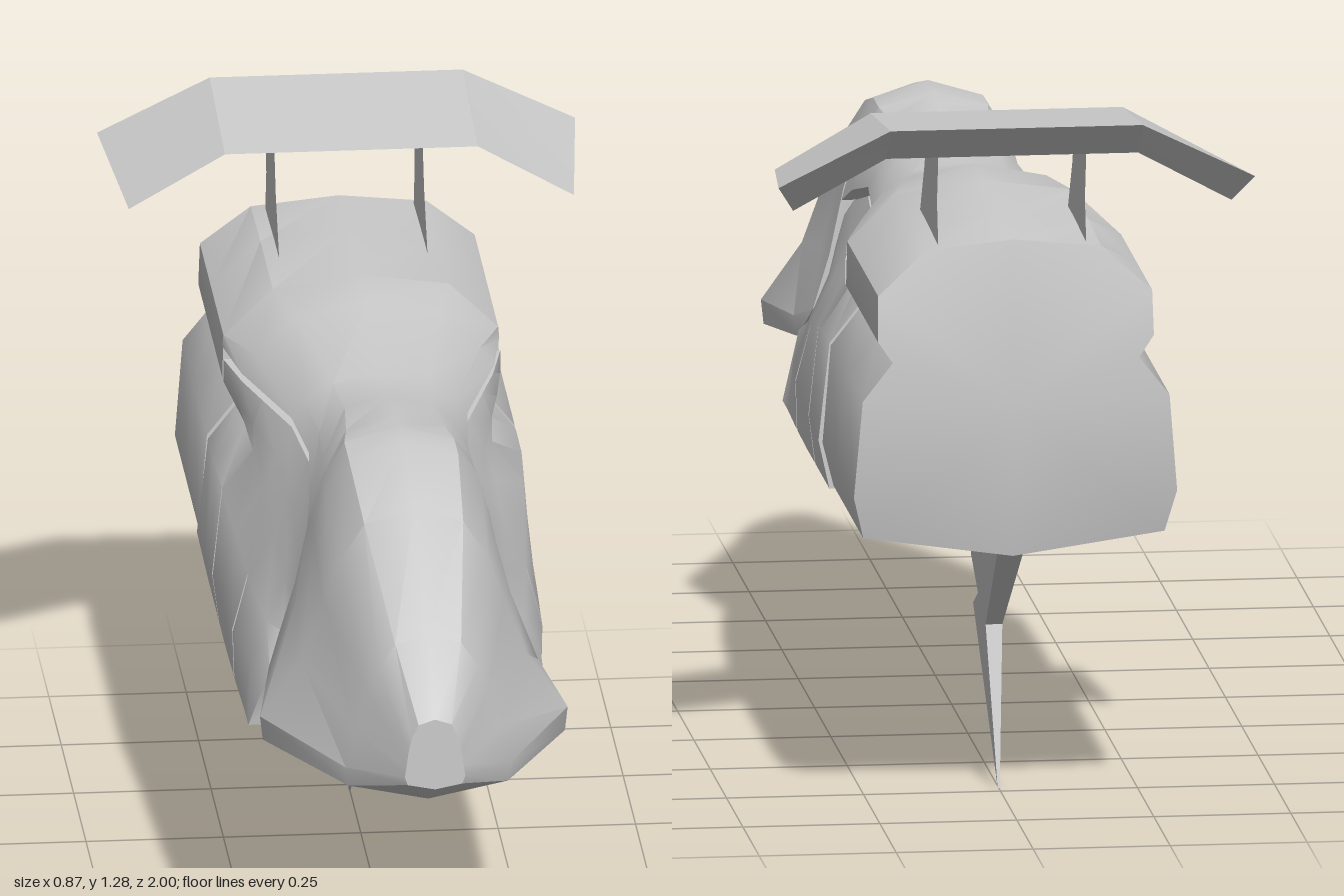
import * as THREE from 'three';
import { toCreasedNormals } from 'three/addons/utils/BufferGeometryUtils.js';

const grey = new THREE.MeshStandardMaterial({ color: 0xcccccc });
const greyThin = new THREE.MeshStandardMaterial({ color: 0xcccccc, side: THREE.DoubleSide });

// Skins closed rings (clockwise seen from the first end) and caps both ends
function loft(name, rings, crease = 0.65, tail) {
  const n = rings[0].length, last = rings.length - 1;
  const pos = rings.flat(2), idx = [];
  for (let i = 0; i < last; i++) {
    for (let j = 0; j < n; j++) {
      const k = (j + 1) % n, a = i * n + j, b = i * n + k;
      idx.push(a, b, b + n, a, b + n, a + n);
    }
  }
  const cap = (ring, offset, front, centre) => {
    const c = pos.length / 3;
    pos.push(...(centre || [0, 1, 2].map(d => ring.reduce((s, p) => s + p[d], 0) / n)));
    for (let j = 0; j < n; j++) {
      const a = offset + j, b = offset + (j + 1) % n;
      idx.push(c, front ? b : a, front ? a : b);
    }
  };
  cap(rings[0], 0, true);
  cap(rings[last], last * n, false, tail);
  const g = new THREE.BufferGeometry();
  g.setAttribute('position', new THREE.Float32BufferAttribute(pos, 3));
  g.setIndex(idx);
  const mesh = new THREE.Mesh(toCreasedNormals(g, crease), grey);
  mesh.name = name;
  return mesh;
}

// Half section [x, y, own z] from top centre to bottom centre, mirrored to a ring
function ring([z, half]) {
  const right = half.map(([x, y, pz = z]) => [x, y, pz]);
  const left = right.slice(1, -1).reverse().map(([x, y, pz]) => [-x, y, pz]);
  return [...right, ...left];
}

// Narrow vertical slit in the lower flank, cut between two sections
function addSlit(sections, z) {
  const i = sections.findIndex(s => s[0] < z);
  const [z0, h0] = sections[i - 1], [z1, h1] = sections[i];
  const at = (zz, depth) => [zz, h0.map((p, j) => {
    const t = (z0 - zz) / (z0 - z1);
    const x = p[0] + (h1[j][0] - p[0]) * t, y = p[1] + (h1[j][1] - p[1]) * t;
    return [x - (j === 5 || j === 6 ? depth : 0), y];
  })];
  sections.splice(i, 0, at(z + 0.005, 0), at(z, 0.015), at(z - 0.005, 0));
}

// Flat outline given as [z, y]
function sideShape(points) {
  return new THREE.Shape(points.map(p => new THREE.Vector2(...p)));
}

export function createModel() {
  const model = new THREE.Group();

  // Nose and canopy
  const nose = [
    [1, [[0, 0.78], [0.03, 0.77], [0.042, 0.745], [0.048, 0.72], [0.052, 0.69], [0.055, 0.67], [0.05, 0.655], [0, 0.645]]],
    [0.86, [[0, 0.89], [0.06, 0.875], [0.09, 0.83], [0.11, 0.78], [0.13, 0.71], [0.15, 0.64], [0.145, 0.605], [0, 0.575]]],
    [0.57, [[0, 1.03], [0.09, 1.0], [0.135, 0.93], [0.165, 0.85], [0.205, 0.74], [0.28, 0.635], [0.275, 0.59], [0, 0.545]]],
    [0.36, [[0, 1.08], [0.1, 1.05], [0.142, 0.98], [0.163, 0.9], [0.195, 0.78], [0.245, 0.65], [0.24, 0.612], [0, 0.595]]],
    [0.275, [[0, 1.077], [0.1, 1.05], [0.14, 0.985], [0.165, 0.9], [0.19, 0.78], [0.22, 0.68], [0.235, 0.625, 0.34], [0, 0.6, 0.34]]],
  ];
  model.add(loft('nose', nose.map(ring)));

  // Narrow spine joining canopy and tail above the side pods
  const spine = [
    [0.275, [[0, 1.077], [0.1, 1.05], [0.14, 0.985], [0.168, 0.88], [0, 0.88]]],
    [0.2, [[0, 1.071], [0.09, 1.045], [0.135, 0.985], [0.157, 0.915], [0, 0.915]]],
    [0.06, [[0, 1.057], [0.08, 1.035], [0.125, 0.99], [0.145, 0.95], [0, 0.95]]],
    [-0.12, [[0, 1.03], [0.085, 1.015], [0.14, 0.98], [0.16, 0.95], [0, 0.95]]],
    [-0.36, [[0, 1.08], [0.13, 1.055], [0.205, 0.985], [0.23, 0.95], [0, 0.95]]],
    [-0.5, [[0, 1.08], [0.16, 1.058], [0.25, 0.972], [0.252, 0.95], [0, 0.95]]],
  ];
  model.add(loft('spine', spine.map(ring)));

  // Middle block with the two sculpted side pods
  const pods = [
    [0.26, [[0, 0.855], [0.165, 0.855], [0.18, 0.8], [0.19, 0.75], [0.21, 0.68], [0.24, 0.63, 0.325], [0.275, 0.51, 0.28], [0, 0.51, 0.28]]],
    [0.2, [[0, 0.895], [0.155, 0.895], [0.18, 0.83], [0.2, 0.76], [0.235, 0.68], [0.265, 0.6], [0.275, 0.51], [0, 0.51]]],
    [0.06, [[0, 0.933], [0.145, 0.933], [0.18, 0.86], [0.21, 0.79], [0.25, 0.7], [0.28, 0.6], [0.278, 0.51], [0, 0.51]]],
    [-0.12, [[0, 0.933], [0.16, 0.933], [0.19, 0.88], [0.212, 0.82], [0.265, 0.74], [0.287, 0.6], [0.28, 0.51], [0, 0.51]]],
    [-0.36, [[0, 0.933], [0.228, 0.933], [0.235, 0.89], [0.222, 0.85], [0.28, 0.78], [0.295, 0.6], [0.28, 0.51], [0, 0.51]]],
    [-0.48, [[0, 0.933], [0.252, 0.933], [0.252, 0.89], [0.225, 0.85], [0.28, 0.78], [0.3, 0.6], [0.28, 0.51], [0, 0.51]]],
  ];
  addSlit(pods, 0.03);
  addSlit(pods, -0.26);
  model.add(loft('sidePods', pods.map(ring)));

  // Tail body with concave flanks and a bowed rear face
  const flank = [[0.25, 0.972], [0.252, 0.89], [0.225, 0.85], [0.28, 0.78], [0.295, 0.6], [0.275, 0.52], [0, 0.477]];
  const rearZ = [-0.975, -0.985, -0.987, -0.99, -0.98, -0.955, -0.94];
  const tail = [
    [-0.5, [[0, 1.08], [0.16, 1.058], ...flank]],
    [-0.75, [[0, 1.075], [0.16, 1.057], ...flank]],
    [-0.95, [[0, 1.066], [0.16, 1.05], ...flank.map(([x, y], i) => [x, y, rearZ[i]])]],
  ];
  model.add(loft('tailBody', tail.map(ring), 0.65, [0, 0.77, -0.995]));

  // Wedge-shaped rear wing: leading, trailing and lower edge, tips drooping
  const tip = s => [[s * 0.405, 1.15, -0.69], [s * 0.435, 1.183, -1], [s * 0.4, 1.125, -0.93]];
  const bend = s => [[s * 0.23, 1.25, -0.69], [s * 0.23, 1.283, -1], [s * 0.23, 1.217, -0.93]];
  model.add(loft('rearWing', [tip(1), bend(1), bend(-1), tip(-1)], 0.3));

  // Thin wing struts
  const strut = new THREE.ShapeGeometry(sideShape([[-0.63, 1.03], [-0.72, 1.16], [-0.75, 1.245], [-0.93, 1.22], [-0.91, 1.13], [-0.935, 1.03]]));
  strut.rotateY(-Math.PI / 2);
  for (const s of [1, -1]) {
    const mesh = new THREE.Mesh(strut, greyThin);
    mesh.name = s > 0 ? 'leftWingStrut' : 'rightWingStrut';
    mesh.position.x = s * 0.135;
    model.add(mesh);
  }

  // Notched ventral fin, tapering in thickness to its lower point
  const outline = [[-0.5, 0.49], [-0.5, 0.475], [-0.458, 0.38], [-0.547, 0.325], [-0.458, 0.288], [-0.723, 0.0], [-0.65, 0.288], [-0.9, 0.475], [-0.9, 0.49]];
  const fin = new THREE.ExtrudeGeometry(sideShape(outline), { depth: 1, bevelEnabled: false });
  fin.translate(0, 0, -0.5).rotateY(-Math.PI / 2);
  const p = fin.attributes.position;
  for (let i = 0; i < p.count; i++) p.setX(i, p.getX(i) * (0.004 + 0.092 * p.getY(i)));
  fin.computeVertexNormals();
  const finMesh = new THREE.Mesh(fin, grey);
  finMesh.name = 'ventralFin';
  model.add(finMesh);

  return model;
}
